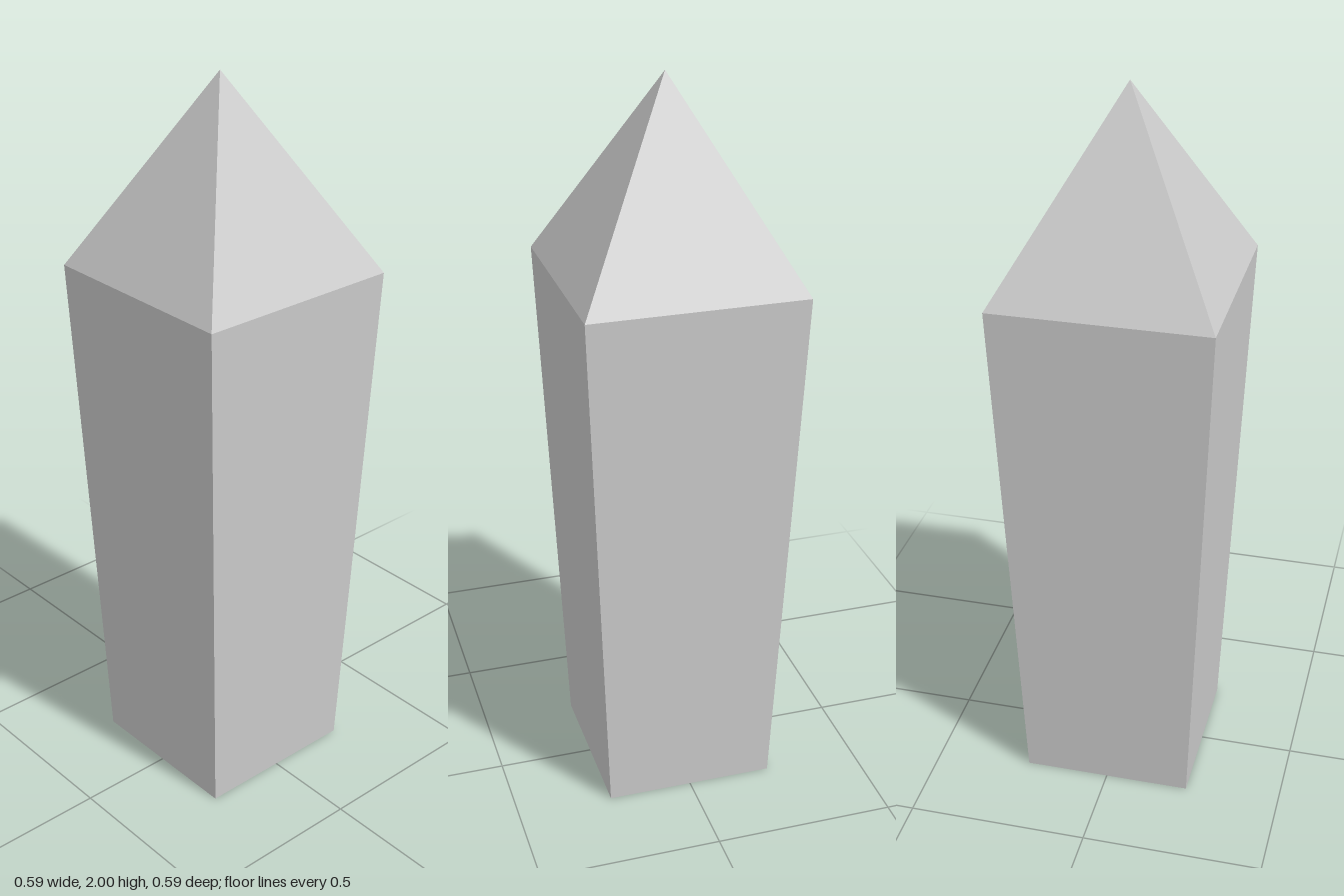
import * as THREE from 'three';

const BASE = 0.235, SHOULDER = 0.294; // half widths of the square sections
const SHOULDER_Y = 1.475, TOP_Y = 2, TIP_X = -0.01;

// Square frustum with its sides facing the axes, from y0 to y1
function squareFrustum(bottom, top, y0, y1, openEnded) {
  const g = new THREE.CylinderGeometry(top * Math.SQRT2, bottom * Math.SQRT2, y1 - y0, 4, 1, openEnded);
  return g.rotateY(Math.PI / 4).translate(0, (y0 + y1) / 2, 0);
}

export function createModel() {
  const group = new THREE.Group();
  group.name = 'crystal';
  const material = new THREE.MeshStandardMaterial({
    color: 0xcccccc, flatShading: true, side: THREE.DoubleSide,
  });
  const add = (name, geometry) => {
    const mesh = new THREE.Mesh(geometry, material);
    mesh.name = name;
    group.add(mesh);
  };

  // Shaft widening upwards, closed at the foot
  const shaft = squareFrustum(BASE, SHOULDER, 0, SHOULDER_Y, true);
  add('shaft', shaft);
  const foot = new THREE.PlaneGeometry(2 * BASE, 2 * BASE).rotateX(Math.PI / 2);
  add('foot', foot);

  // Pyramid point, its tip slightly off centre
  const point = squareFrustum(SHOULDER, 0, SHOULDER_Y, TOP_Y, true);
  const p = point.attributes.position;
  for (let i = 0; i < p.count; i++) {
    if (p.getY(i) > TOP_Y - 0.01) p.setX(i, TIP_X);
  }
  point.computeVertexNormals();
  add('point', point);

  return group;
}
